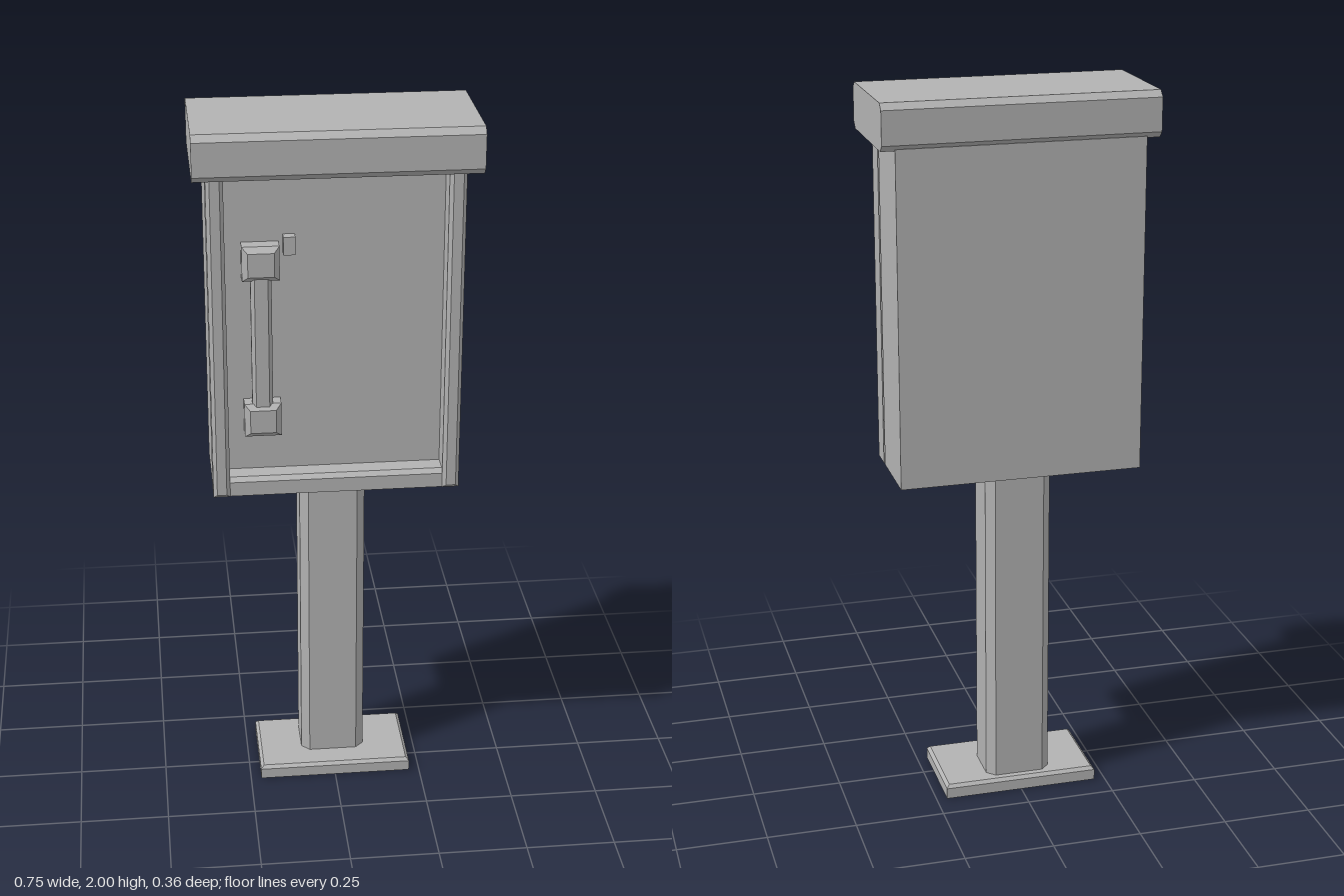
import * as THREE from 'three';

const grey = new THREE.MeshStandardMaterial({ color: 0xb2b2b2 });
grey.name = 'painted metal grey';

export function createModel() {
  const model = new THREE.Group();
  model.name = 'pedestalCabinet';

  function add(name, geometry, x, y, z, parent = model) {
    const mesh = new THREE.Mesh(geometry, grey);
    mesh.name = name;
    mesh.position.set(x, y, z);
    parent.add(mesh);
    return mesh;
  }

  // Box given by its limits on each axis
  function box(name, [x0, x1], [y0, y1], [z0, z1]) {
    return add(name, new THREE.BoxGeometry(x1 - x0, y1 - y0, z1 - z0),
      (x0 + x1) / 2, (y0 + y1) / 2, (z0 + z1) / 2);
  }

  // Box whose front (+z) rim is chamfered by c
  function chamferFront(w, h, d, c) {
    const geo = new THREE.BoxGeometry(w, h, d, 1, 1, 2);
    const p = geo.attributes.position;
    for (let i = 0; i < p.count; i++) {
      const z = p.getZ(i);
      if (z > d / 4) {
        p.setX(i, p.getX(i) - Math.sign(p.getX(i)) * c);
        p.setY(i, p.getY(i) - Math.sign(p.getY(i)) * c);
      } else if (z > -d / 4) p.setZ(i, d / 2 - c);
    }
    const flat = geo.toNonIndexed();
    flat.computeVertexNormals();
    return flat;
  }

  // Prism along z, centred, from a list of outline points
  function prism(points, length) {
    const shape = new THREE.Shape(points.map(([x, y]) => new THREE.Vector2(x, y)));
    return new THREE.ExtrudeGeometry(shape, { depth: length, bevelEnabled: false })
      .translate(0, 0, -length / 2);
  }

  // Rectangle outline with four cut corners
  function cutRect(w, h, c) {
    const a = w / 2, b = h / 2;
    return [[-a + c, -b], [a - c, -b], [a, -b + c], [a, b - c],
      [a - c, b], [-a + c, b], [-a, b - c], [-a, -b + c]];
  }

  // Foot plate with a chamfered top and a hollow underside
  const rim = new THREE.Shape([[-0.22, -0.128], [0.22, -0.128], [0.22, 0.128], [-0.22, 0.128]]
    .map(([x, y]) => new THREE.Vector2(x, y)));
  rim.holes.push(new THREE.Path([[-0.2, -0.108], [-0.2, 0.108], [0.2, 0.108], [0.2, -0.108]]
    .map(([x, y]) => new THREE.Vector2(x, y))));
  const rimGeo = new THREE.ExtrudeGeometry(rim, { depth: 0.02, bevelEnabled: false });
  add('footRim', rimGeo.rotateX(-Math.PI / 2), 0, 0, -0.042);
  add('footPlate', chamferFront(0.44, 0.256, 0.02, 0.009).rotateX(-Math.PI / 2), 0, 0.03, -0.042);

  // Post with cut corners
  add('post', prism(cutRect(0.184, 0.154, 0.023), 0.92).rotateX(-Math.PI / 2), 0, 0.5, -0.067);

  // Cabinet body, recessed seam and door panel
  box('cabinetBody', [-0.338, 0.338], [0.955, 1.88], [-0.17, 0.037]);
  box('doorPanel', [-0.31, 0.31], [0.957, 1.88], [0.036, 0.052]);

  // Side rails framing the door
  for (const side of [-1, 1]) {
    add(side > 0 ? 'leftRail' : 'rightRail', chamferFront(0.046, 0.92, 0.077, 0.01),
      side * 0.316, 1.416, 0.0865);
  }

  // Bottom sill with a sloped front edge
  const sill = [[0.05, 0.957], [0.115, 0.957], [0.115, 0.998], [0.103, 1.01], [0.05, 1.01]];
  add('bottomSill', prism(sill.map(([z, y]) => [-z, y]).reverse(), 0.6).rotateY(Math.PI / 2), 0, 0, 0);

  // Roof with long chamfered edges
  add('roof', prism(cutRect(0.36, 0.125, 0.017), 0.75).rotateY(Math.PI / 2), 0, 1.9375, 0);

  // Door handle: two mounts and a grip bar
  const handle = new THREE.Group();
  handle.name = 'handle';
  model.add(handle);
  for (const [name, y] of [['upperMount', 1.623], ['lowerMount', 1.173]]) {
    add(name, chamferFront(0.1, 0.096, 0.055, 0.015), -0.198, y, 0.0785, handle);
  }
  add('gripBar', prism(cutRect(0.056, 0.036, 0.01), 0.37).rotateX(-Math.PI / 2), -0.198, 1.398, 0.08, handle);

  // Small lock beside the handle
  box('lock', [-0.137, -0.105], [1.64, 1.69], [0.05, 0.08]);

  return model;
}
